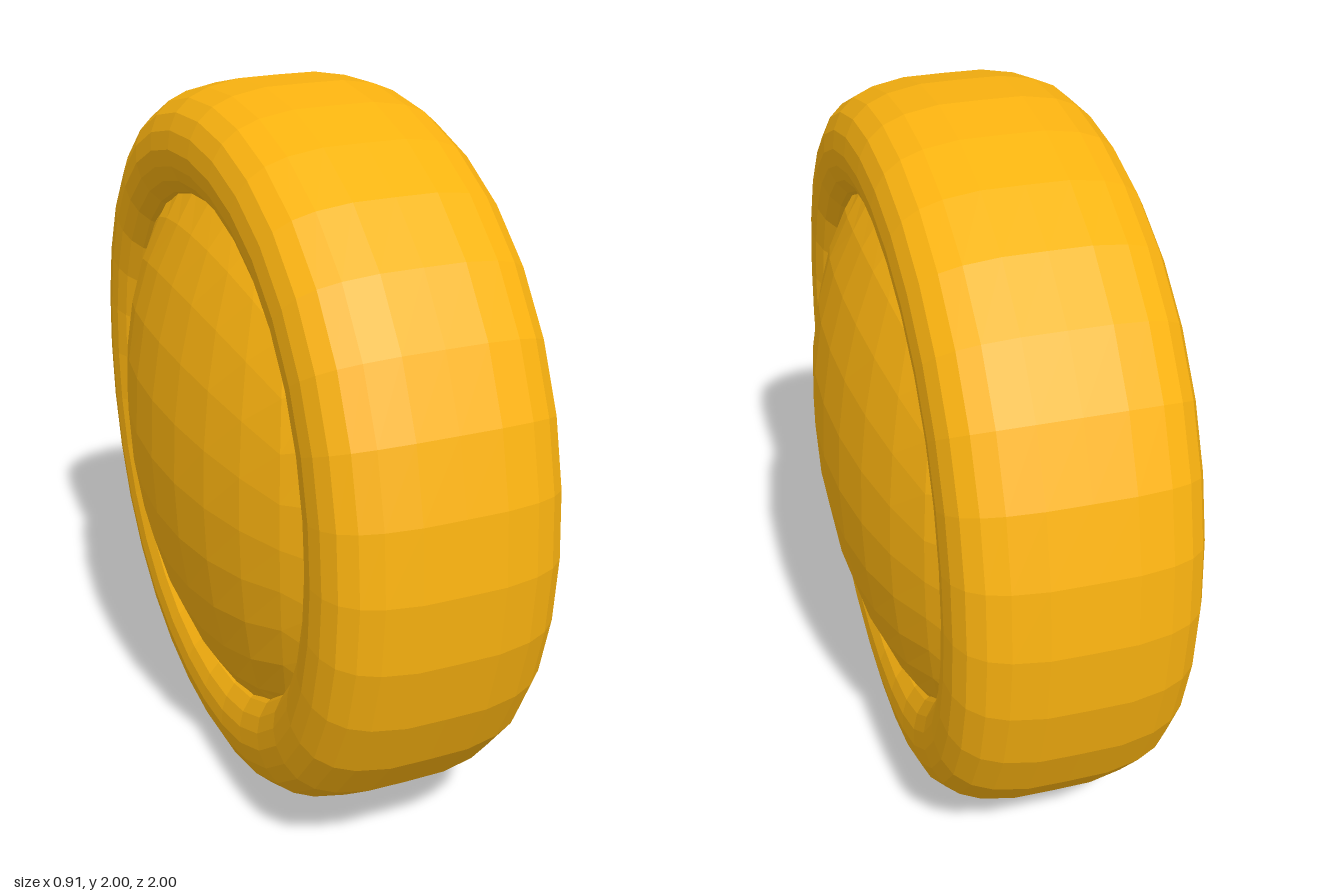
import * as THREE from 'three';

const material = new THREE.MeshStandardMaterial({ color: 0xfcb410, flatShading: true });

// Rounded tyre: half cross-section [axial, radial], mirrored and turned around the axle
function tyreGeometry() {
  const half = [
    [0, 1], [0.11, 0.999], [0.2, 0.983], [0.255, 0.96], [0.295, 0.925], [0.318, 0.88], [0.327, 0.83],
    [0.322, 0.785], [0.306, 0.745], [0.278, 0.712], [0.235, 0.688], [0.18, 0.672], [0.11, 0.664], [0, 0.66],
  ];
  const near = half.map(([a, r]) => new THREE.Vector2(r, a));
  const far = half.slice(0, -1).reverse().map(([a, r]) => new THREE.Vector2(r, -a));
  const geometry = new THREE.LatheGeometry([...near, ...far], 32);

  // The ring is very slightly squared towards its diagonals
  const p = geometry.attributes.position;
  for (let i = 0; i < p.count; i++) {
    const x = p.getX(i), z = p.getZ(i);
    const k = 1 + 0.022 * Math.sin(2 * Math.atan2(z, x)) ** 2;
    p.setXYZ(i, x * k, p.getY(i), z * k);
  }
  geometry.rotateZ(Math.PI / 2);
  geometry.computeVertexNormals();
  return geometry;
}

// Domed hub: a cube grid rounded to a sphere, then flattened along the axle
function hubGeometry() {
  const geometry = new THREE.BoxGeometry(2, 2, 2, 8, 8, 8);
  const p = geometry.attributes.position;
  const v = new THREE.Vector3();
  const spread = (t) => Math.tan(t * Math.PI / 4);
  for (let i = 0; i < p.count; i++) {
    v.fromBufferAttribute(p, i);
    v.set(spread(v.x), spread(v.y), spread(v.z)).normalize();
    p.setXYZ(i, v.x * 0.457, v.y * 0.886, v.z * 0.886);
  }
  geometry.computeVertexNormals();
  return geometry;
}

export function createModel() {
  const wheel = new THREE.Group();
  wheel.name = 'wheel';
  const parts = { tyre: tyreGeometry(), hub: hubGeometry() };
  for (const [name, geometry] of Object.entries(parts)) {
    const mesh = new THREE.Mesh(geometry, material);
    mesh.name = name;
    mesh.position.y = 1;
    wheel.add(mesh);
  }
  return wheel;
}
